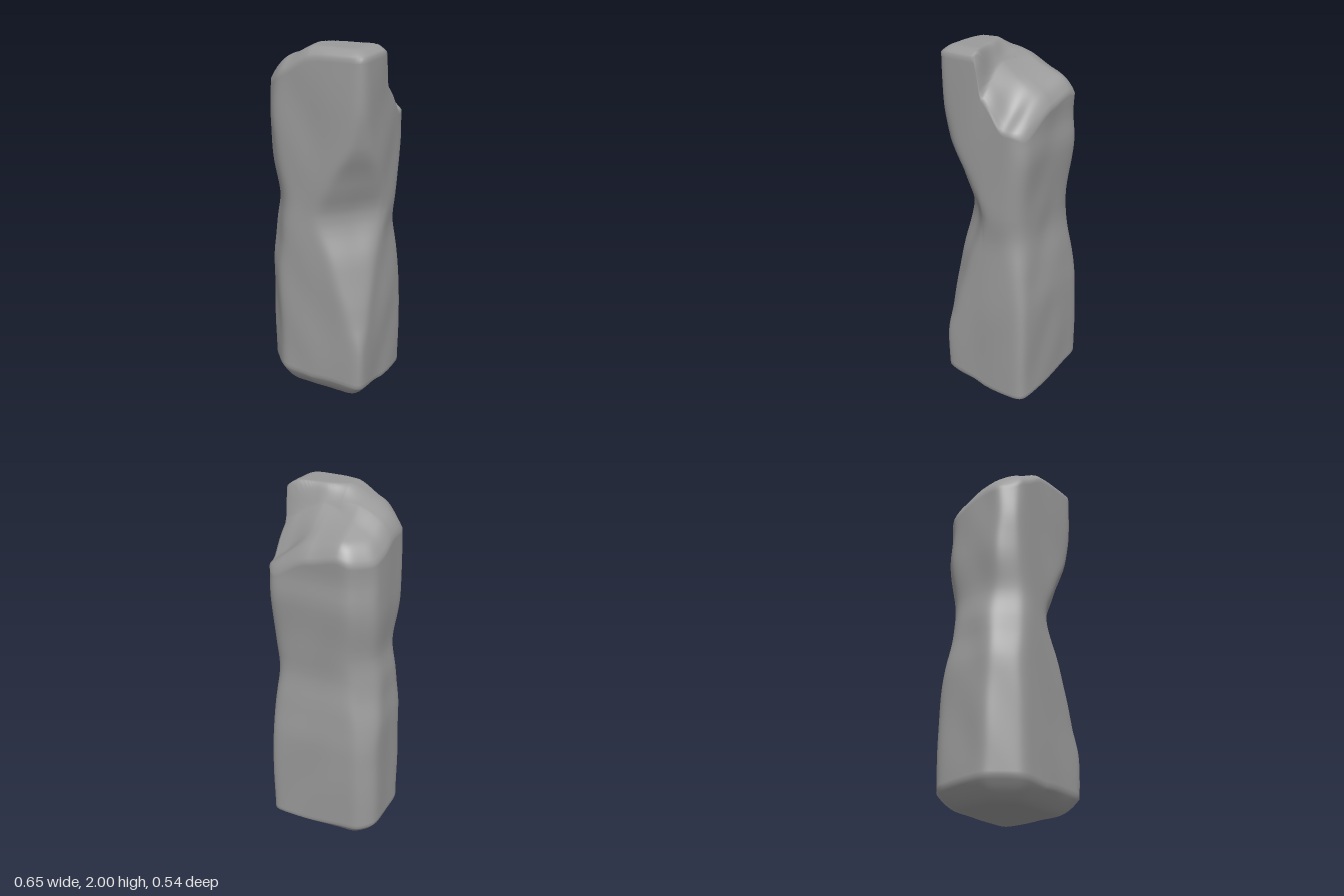
import * as THREE from 'three';

const SIDES = 160, ROWS = 80, CAP = 30;
const smooth = (a, b, v) => THREE.MathUtils.smoothstep(v, a, b);
const lerp = THREE.MathUtils.lerp;

// lookup in a short [position, value] table
function table(points, v) {
  if (v <= points[0][0]) return points[0][1];
  for (let i = 1; i < points.length; i++) {
    const [a, p] = points[i - 1], [b, q] = points[i];
    if (v <= b) return lerp(p, q, lerp((v - a) / (b - a), smooth(a, b, v), 0.5));
  }
  return points[points.length - 1][1];
}
// the same, worn soft along the height
const worn = (points, y) =>
  (table(points, y - 0.06) + 2 * table(points, y) + table(points, y + 0.06)) / 4;

// distances of the four faces from the axis, by height
const faces = [
  { n: [1, 0], d: [[0, 0.32], [0.5, 0.32], [0.97, 0.3], [1.12, 0.318], [1.6, 0.322], [1.9, 0.32]] },
  { n: [-1, 0], d: [[0.1, 0.327], [0.75, 0.32], [0.9, 0.302], [1.0, 0.3], [1.15, 0.275], [1.4, 0.295], [1.83, 0.287]] },
  { n: [0, 1], d: [[0, 0.268], [1.1, 0.264], [2, 0.268]] },
  { n: [0, -1], d: [[0, 0.264], [0.6, 0.266], [0.8, 0.248], [1.0, 0.225], [1.2, 0.237], [1.5, 0.264], [1.58, 0.252], [1.75, 0.267]] },
];
// how far each vertical edge is cut away, by height
const cuts = [
  { sx: 1, sz: 1, c: [[0.1, 0.02], [0.33, 0], [0.47, 0.07], [0.8, 0.16], [1.1, 0.28], [1.28, 0.2], [1.5, 0.08], [1.68, 0.04], [2, 0.02]] },
  { sx: -1, sz: 1, c: [[0.1, 0.15], [0.75, 0.13], [1.1, 0.14], [1.4, 0.1], [1.6, 0.08], [1.85, 0.1]] },
  { sx: -1, sz: -1, c: [[0, 0.08], [0.6, 0.08], [0.9, 0.11], [1.3, 0.1], [1.8, 0.11]] },
  { sx: 1, sz: -1, c: [[0, 0.02], [0.5, 0.02], [1.1, 0.06], [1.7, 0.05]] },
];

// radius of the softened cross-section in direction (c, s)
function radius(c, s, y) {
  const P = 24 - 9 * Math.exp(-(((y - 1.1) / 0.25) ** 2));
  let sum = 0;
  const add = (dot, d) => { if (dot > 0) sum += Math.pow(dot / d, P); };
  const d = faces.map(f => worn(f.d, y));
  faces.forEach((f, i) => add(f.n[0] * c + f.n[1] * s, d[i]));
  for (const k of cuts) {
    const reach = d[k.sx > 0 ? 0 : 1] + d[k.sz > 0 ? 2 : 3];
    add(k.sx * c + k.sz * s, reach - worn(k.c, y));
  }
  const ripple = 0.004 * Math.sin(7 * y + 4 * c) * Math.sin(5 * y + 6 * s);
  return Math.pow(sum, -1 / P) + ripple;
}

// broken top: high front ledge, step, and a hollowed slope at the back
function topHeight(x, z) {
  const ledge = table([[-0.33, 1.82], [-0.27, 1.87], [-0.15, 1.94], [0, 2.0], [0.32, 2.0]], x);
  const front = ledge - 0.04 * smooth(0.05, 0.3, z) * (1 - smooth(-0.25, 0.1, x));
  const stepFoot = table([[-0.3, 1.82], [-0.1, 1.91], [0.1, 1.91], [0.3, 1.83]], x);
  const backEdge = table([[-0.3, 1.73], [-0.12, 1.79], [0.05, 1.74], [0.3, 1.61]], x);
  const back = lerp(backEdge, stepFoot, Math.min(1, Math.max(0, (z + 0.26) / 0.28)));
  const hollow = 0.06 * Math.exp(-(((x - 0.28) / 0.14) ** 2) - ((z + 0.13) / 0.06) ** 2);
  const line = table([[0, 0.05], [0.15, 0.035], [0.3, 0.01]], x);
  const width = table([[-0.15, 0.14], [0.1, 0.03], [0.3, 0.018]], x);
  return lerp(back - hollow, front, smooth(line - width, line + width, z));
}

// rounding of the upper and lower rims at fraction k of the radius
const topBevel = (k, c) => (0.05 - 0.015 * c) * Math.pow(Math.max(0, (k - 0.72) / 0.28), 2.6);
const foot = (k, c, s) => (0.08 + 0.02 * s - 0.03 * c + 0.06 * Math.max(0, c) * Math.max(0, s))
  * Math.pow(Math.max(0, (k - 0.62) / 0.38), 2);

function stoneGeometry() {
  const pos = [], index = [];
  const ring = fn => {
    for (let i = 0; i < SIDES; i++) {
      const a = (i / SIDES) * Math.PI * 2;
      pos.push(...fn(Math.cos(a), Math.sin(a)));
    }
  };
  const rim = (c, s) => {
    const r = radius(c, s, 1.8);
    return topHeight(c * r, s * r) - topBevel(1, c);
  };

  // underside, from the middle outwards
  for (let j = 0; j < CAP; j++) ring((c, s) => {
    const k = j / CAP, r = radius(c, s, 0.08) * k;
    return [c * r, foot(k, c, s), s * r];
  });
  // sides
  for (let j = 0; j <= ROWS; j++) ring((c, s) => {
    const y = lerp(foot(1, c, s), rim(c, s), j / ROWS), r = radius(c, s, y);
    return [c * r, y, s * r];
  });
  // top, from the rim inwards
  for (let j = CAP - 1; j >= 0; j--) ring((c, s) => {
    const k = j / CAP, r = radius(c, s, rim(c, s)) * k;
    return [c * r, topHeight(c * r, s * r) - topBevel(k, c), s * r];
  });

  const rings = pos.length / 3 / SIDES;
  for (let j = 0; j < rings - 1; j++) for (let i = 0; i < SIDES; i++) {
    const a = j * SIDES + i, b = j * SIDES + (i + 1) % SIDES;
    const c = a + SIDES, d = b + SIDES;
    if (j > 0) index.push(a, c, b);
    if (j < rings - 2) index.push(b, c, d);
  }
  const g = new THREE.BufferGeometry();
  g.setAttribute('position', new THREE.Float32BufferAttribute(pos, 3));
  g.setIndex(index);
  g.computeVertexNormals();

  // the middle points share one place, so give them a plain normal
  const normal = g.attributes.normal;
  for (let i = 0; i < SIDES; i++) {
    normal.setXYZ(i, 0, -1, 0);
    normal.setXYZ((rings - 1) * SIDES + i, 0, 1, 0);
  }
  return g;
}

export function createModel() {
  const group = new THREE.Group();
  group.name = 'standingStone';
  const stone = new THREE.Mesh(stoneGeometry(), new THREE.MeshStandardMaterial({ color: 0x9a9a9a }));
  stone.name = 'stonePillar';
  group.add(stone);
  return group;
}
